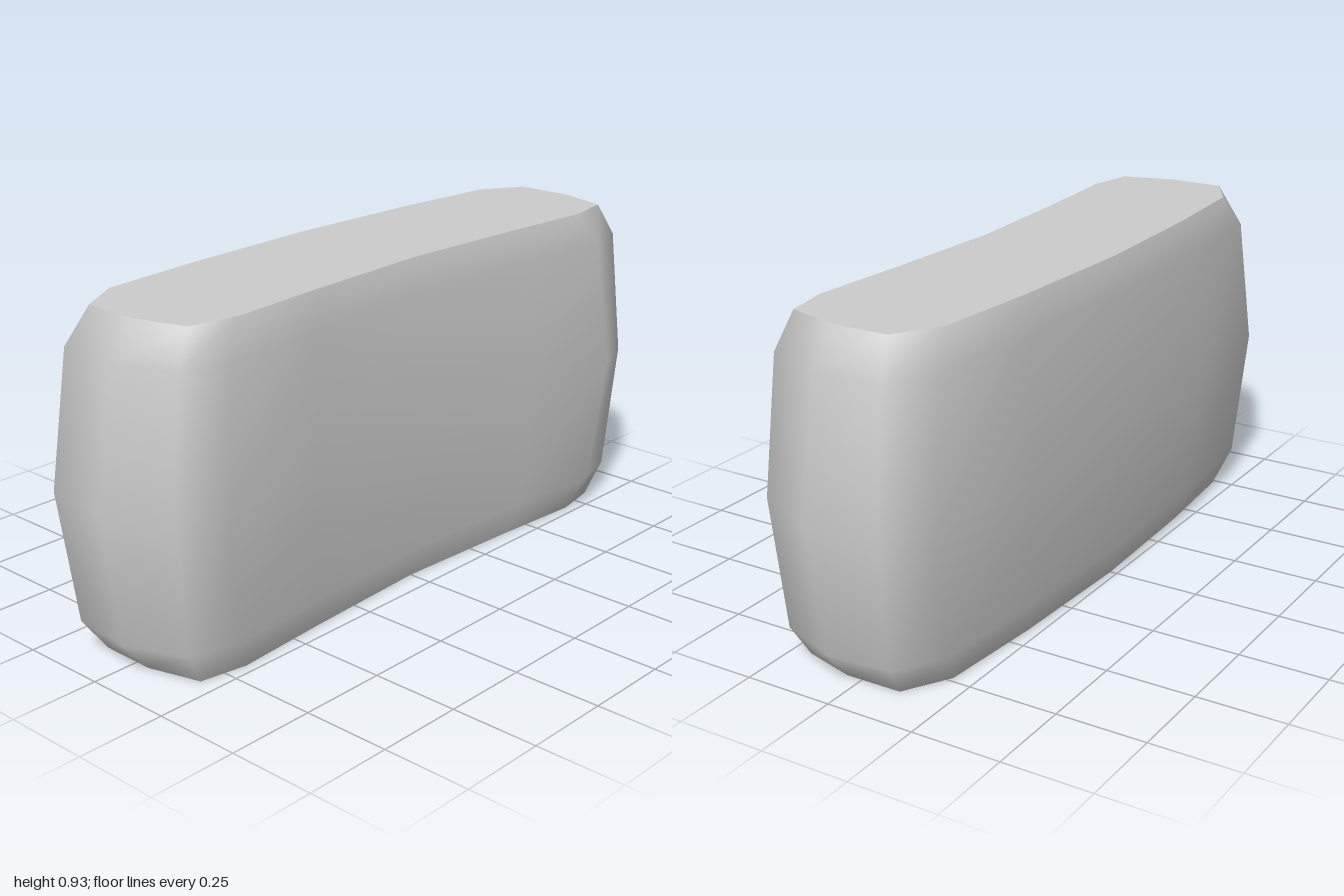
import * as THREE from 'three';

// Right half of the plan outlines [x, z], from the back centre round to the front centre
const RIM = [[0, -0.23], [0.42, -0.215], [0.735, -0.19], [0.86, -0.115], [0.862, 0.045], [0.82, 0.195], [0.685, 0.22], [0.4, 0.2], [0, 0.18]];
const BELLY = [[0, -0.284], [0.48, -0.268], [0.86, -0.238], [0.975, -0.15], [1, 0.05], [0.915, 0.23], [0.785, 0.28], [0.45, 0.251], [0, 0.235]];

// [height, blend from belly to rim]
const LEVELS = [[0, 1], [0.095, 0.42], [0.465, 0], [0.835, 0.42], [0.93, 1]];

// Closed, mirrored outline between the belly and the rim
function ring(y, t) {
  const half = BELLY.map(([x, z], i) => [
    THREE.MathUtils.lerp(x, RIM[i][0], t), y, THREE.MathUtils.lerp(z, RIM[i][1], t)]);
  const mirrored = half.slice(1, -1).reverse().map(([x, h, z]) => [-x, h, z]);
  return [...half, ...mirrored];
}

function buildGeometry(points, index) {
  const geometry = new THREE.BufferGeometry();
  geometry.setAttribute('position', new THREE.Float32BufferAttribute(points.flat(), 3));
  geometry.setIndex(index);
  geometry.computeVertexNormals();
  return geometry;
}

// Smooth bulging wall through all the rings
function wallGeometry(rings) {
  const n = rings[0].length;
  const index = [];
  for (let i = 0; i < rings.length - 1; i++) {
    for (let j = 0; j < n; j++) {
      const a = i * n + j, b = i * n + (j + 1) % n;
      index.push(a, a + n, b, b, a + n, b + n);
    }
  }
  return buildGeometry(rings.flat(), index);
}

// Flat end, fanned from the middle
function capGeometry(outline, up) {
  const n = outline.length;
  const index = [];
  for (let j = 0; j < n; j++) {
    const k = (j + 1) % n;
    index.push(n, up ? k : j, up ? j : k);
  }
  return buildGeometry([...outline, [0, outline[0][1], 0]], index);
}

export function createModel() {
  const group = new THREE.Group();
  group.name = 'curvedCushion';
  const material = new THREE.MeshStandardMaterial({ color: 0xcccccc });
  const add = (name, geometry) => {
    const mesh = new THREE.Mesh(geometry, material);
    mesh.name = name;
    group.add(mesh);
  };

  const rings = LEVELS.map(([y, t]) => ring(y, t));
  add('cushionWall', wallGeometry(rings));
  add('topFace', capGeometry(rings[rings.length - 1], true));
  add('bottomFace', capGeometry(rings[0], false));
  return group;
}
